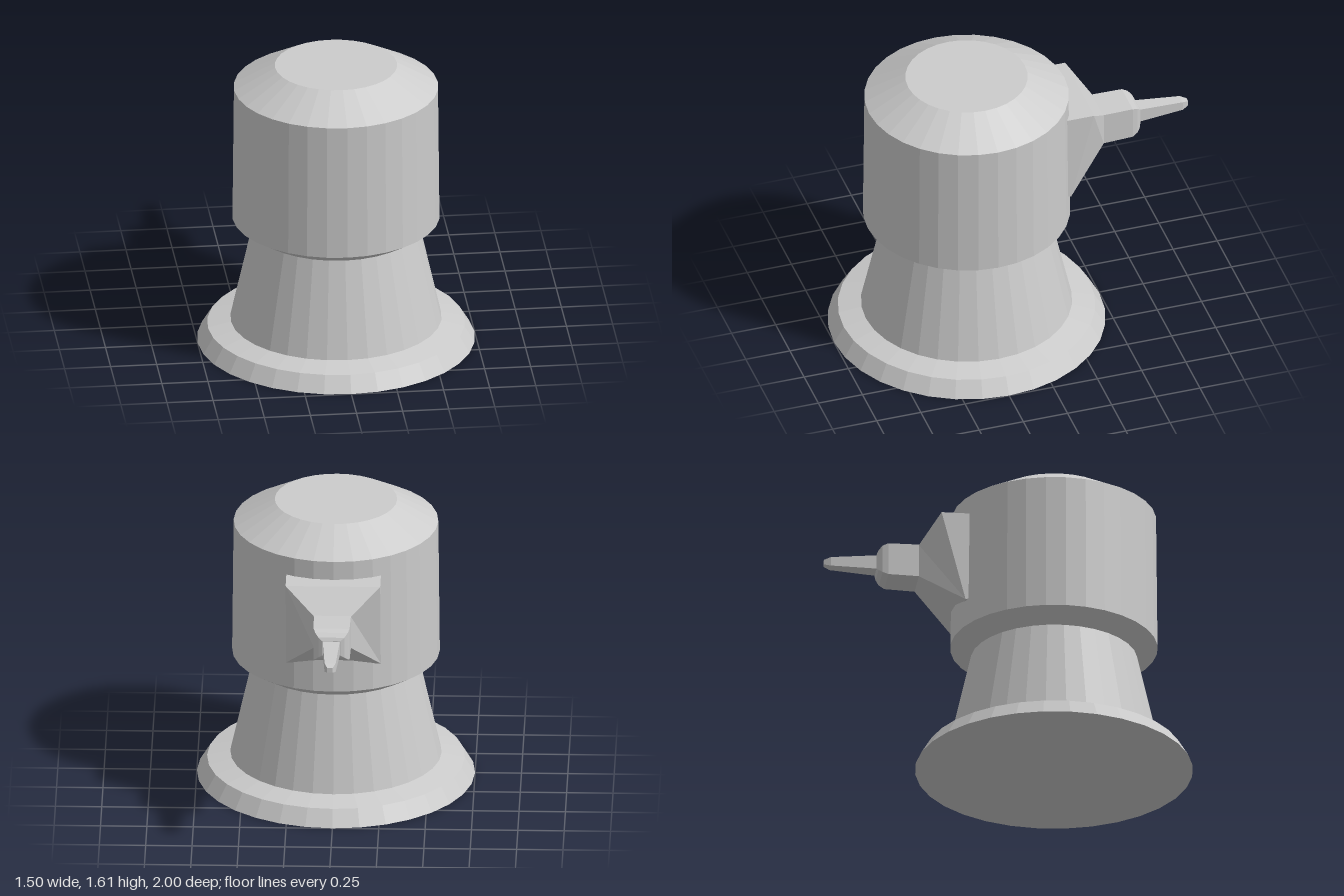
import * as THREE from 'three';

const material = new THREE.MeshStandardMaterial({ color: 0xcccccc, flatShading: true });
const AXIS_Z = 0.25;

// Turned part from [radius, y] points
function turned(name, points) {
  const profile = points.map(([r, y]) => new THREE.Vector2(r, y));
  const mesh = new THREE.Mesh(new THREE.LatheGeometry(profile, 32), material);
  mesh.name = name;
  mesh.position.z = AXIS_Z;
  return mesh;
}

// Capped loft through rectangles running backwards:
// [z at bottom, z at top, half width, y bottom, y top]
function loft(name, sections) {
  const positions = [];
  const index = [];
  for (const [zb, zt, w, y0, y1] of sections) {
    positions.push(-w, y0, zb, w, y0, zb, w, y1, zt, -w, y1, zt);
  }
  for (let s = 0; s < sections.length - 1; s++) {
    for (let i = 0; i < 4; i++) {
      const a = s * 4 + i, b = s * 4 + (i + 1) % 4;
      index.push(a, a + 4, b, b, a + 4, b + 4);
    }
  }
  const e = (sections.length - 1) * 4;
  index.push(0, 1, 2, 0, 2, 3, e, e + 2, e + 1, e, e + 3, e + 2);
  const geometry = new THREE.BufferGeometry();
  geometry.setAttribute('position', new THREE.Float32BufferAttribute(positions, 3));
  geometry.setIndex(index);
  const flat = geometry.toNonIndexed();
  flat.computeVertexNormals();
  const mesh = new THREE.Mesh(flat, material);
  mesh.name = name;
  return mesh;
}

export function createModel() {
  const model = new THREE.Group();
  model.name = 'turnedPost';

  // Flared foot, tapered neck and wide head
  model.add(
    turned('foot', [[0, 0], [0.75, 0], [0.695, 0.09], [0.57, 0.12]]),
    turned('neck', [[0.57, 0.12], [0.45, 0.655]]),
    turned('head', [[0.45, 0.655], [0.56, 0.722], [0.552, 1.485], [0.33, 1.61], [0, 1.61]]),
  );

  // Slanted mounting block that tapers to the socket
  model.add(loft('mount', [
    [-0.22, -0.22, 0.255, 0.88, 1.38],
    [-0.26, -0.39, 0.255, 0.87, 1.38],
    [-0.495, -0.495, 0.1, 1.065, 1.25],
  ]));

  // Square socket with a rounded end
  model.add(loft('socket', [
    [-0.49, -0.49, 0.1, 1.065, 1.253],
    [-0.66, -0.66, 0.097, 1.07, 1.253],
    [-0.69, -0.69, 0.088, 1.085, 1.242],
    [-0.71, -0.71, 0.07, 1.105, 1.222],
    [-0.718, -0.718, 0.05, 1.12, 1.205],
  ]));

  // Tapered pin
  model.add(loft('pin', [
    [-0.7, -0.7, 0.047, 1.122, 1.203],
    [-0.965, -0.965, 0.03, 1.135, 1.185],
    [-1, -1, 0.015, 1.146, 1.174],
  ]));

  return model;
}
